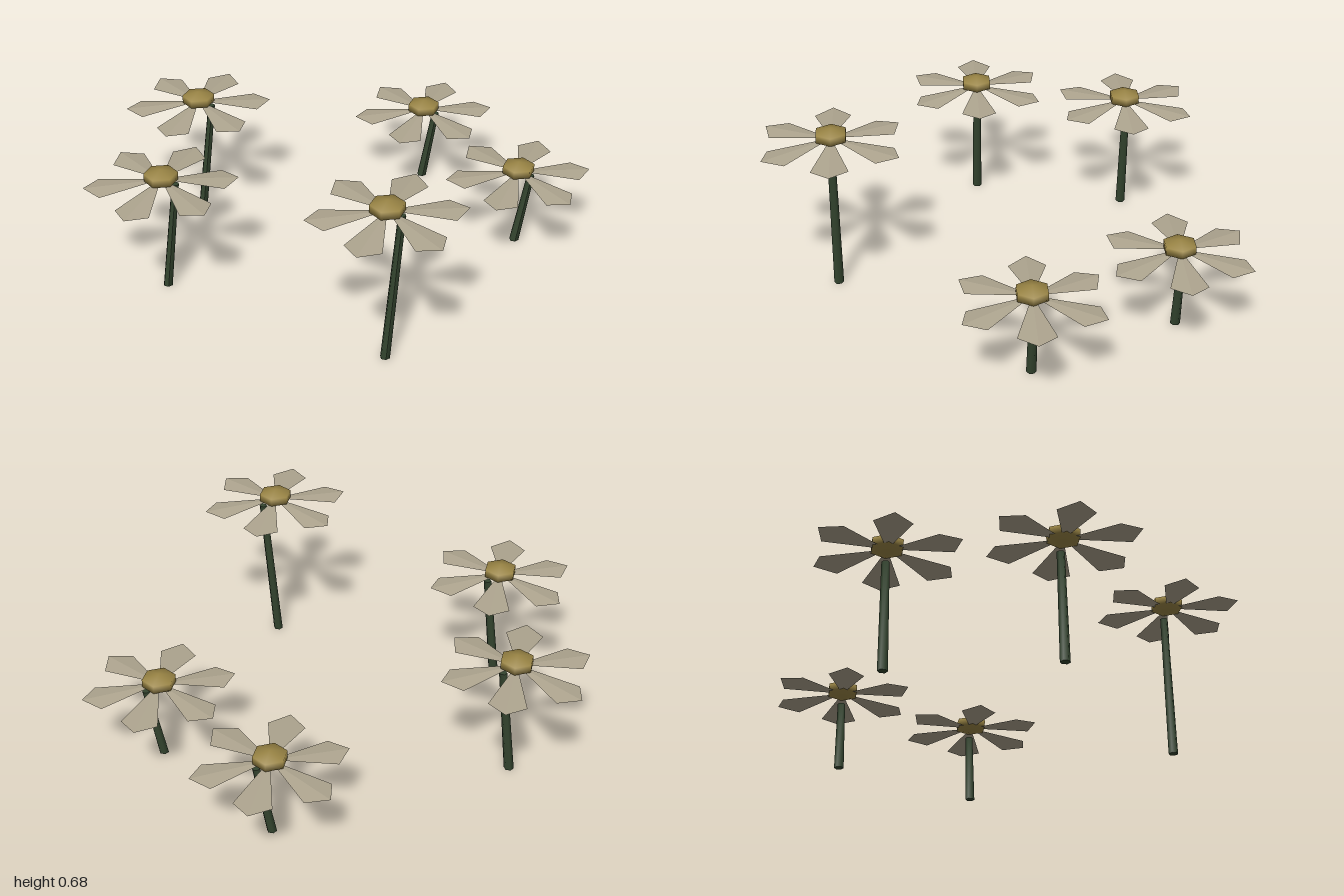
import * as THREE from 'three';

// x, z and petal height of each flower
const FLOWERS = [
  [-0.708, 0.05, 0.465],
  [-0.53, -0.555, 0.465],
  [0.054, 0.63, 0.62],
  [0.424, -0.64, 0.31],
  [0.702, -0.075, 0.31],
];
const LEAN = 0.052;

const stemMaterial = new THREE.MeshStandardMaterial({ color: 0x34452f });
const discMaterial = new THREE.MeshStandardMaterial({ color: 0x9a8545 });
const petalMaterial = new THREE.MeshStandardMaterial({ color: 0xaea58f, side: THREE.DoubleSide, flatShading: true });

// Kite-shaped petal along +x, slightly creased along its middle and drooping outwards
function petalGeometry() {
  const geometry = new THREE.BufferGeometry();
  geometry.setAttribute('position', new THREE.Float32BufferAttribute([
    0, 0.012, 0,
    0.232, -0.008, 0.07,
    0.292, -0.003, 0,
    0.232, -0.008, -0.07,
  ], 3));
  geometry.setIndex([0, 1, 2, 0, 2, 3]);
  geometry.computeVertexNormals();
  return geometry;
}

// Tapered stem standing on the ground, sheared towards +x
function stemGeometry(height) {
  const geometry = new THREE.CylinderGeometry(0.015, 0.019, height, 6);
  geometry.translate(0, height / 2, 0);
  const p = geometry.attributes.position;
  for (let i = 0; i < p.count; i++) p.setX(i, p.getX(i) + LEAN * p.getY(i) / height);
  geometry.computeVertexNormals();
  return geometry;
}

export function createModel() {
  const model = new THREE.Group();
  model.name = 'flowerPatch';
  const petalGeo = petalGeometry();
  const discGeo = new THREE.SphereGeometry(0.074, 6, 3).scale(1, 0.42, 1);

  for (const [x, z, y] of FLOWERS) {
    const flower = new THREE.Group();
    flower.name = 'flower';
    flower.position.set(x, 0, z);

    const stem = new THREE.Mesh(stemGeometry(y - 0.012), stemMaterial);
    stem.name = 'stem';
    flower.add(stem);

    const disc = new THREE.Mesh(discGeo, discMaterial);
    disc.name = 'flowerCentre';
    disc.position.y = y + 0.024;
    flower.add(disc);

    // Ring of six petals
    for (let i = 0; i < 6; i++) {
      const petal = new THREE.Mesh(petalGeo, petalMaterial);
      petal.name = 'petal';
      petal.position.y = y;
      petal.rotation.y = i * Math.PI / 3;
      flower.add(petal);
    }
    model.add(flower);
  }
  return model;
}
